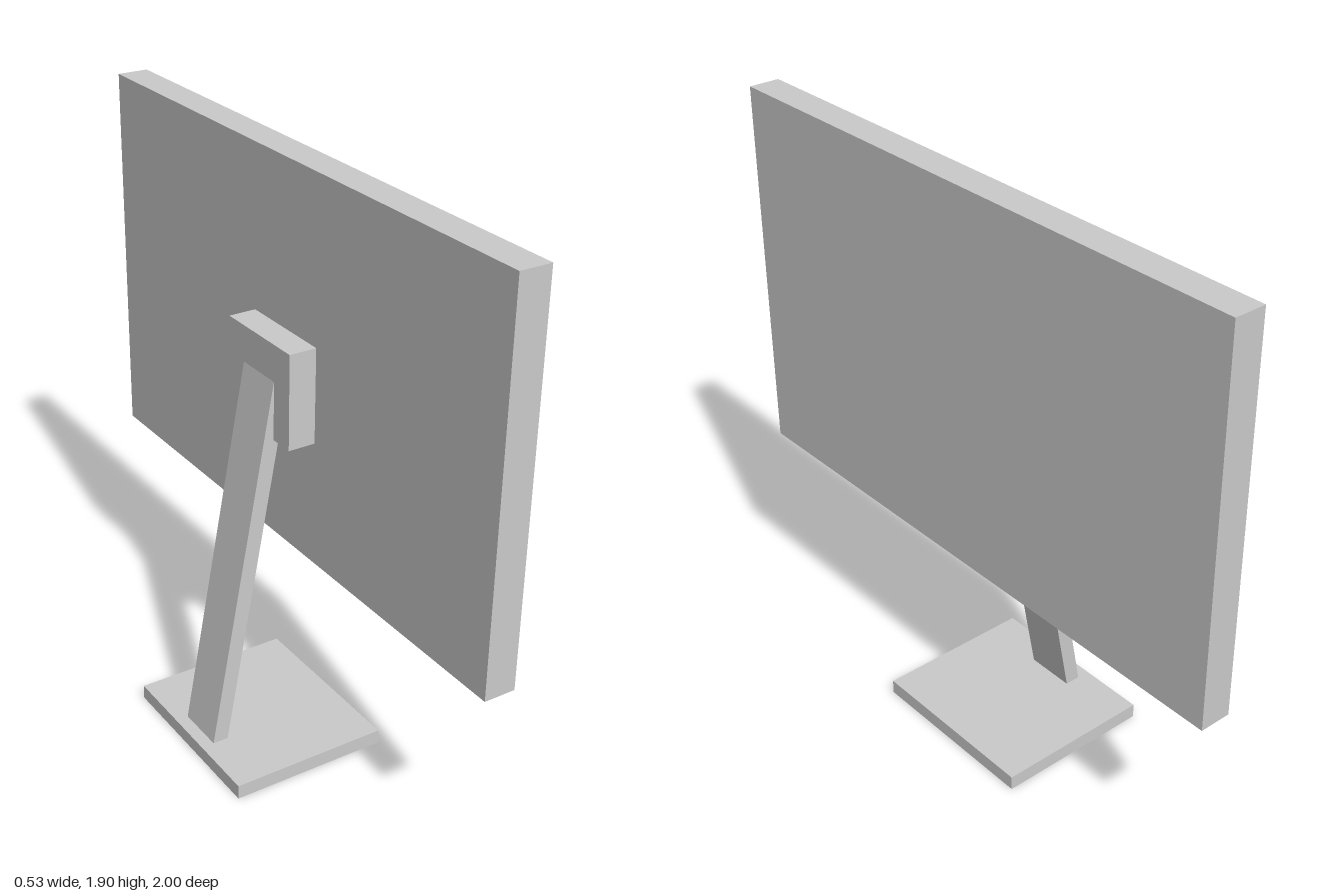
import * as THREE from 'three';

export function createModel() {
  const model = new THREE.Group();
  const material = new THREE.MeshStandardMaterial({ color: 0xcccccc, flatShading: true });

  const add = (name, geometry) => {
    const mesh = new THREE.Mesh(geometry, material);
    mesh.name = name;
    model.add(mesh);
  };
  // Block spanning x0..x1 and y0..y1, centred on z
  const block = (name, x0, x1, y0, y1, depth) =>
    add(name, new THREE.BoxGeometry(x1 - x0, y1 - y0, depth)
      .translate((x0 + x1) / 2, (y0 + y1) / 2, 0));

  block('base', -0.263, 0.263, 0, 0.048, 0.61);
  block('mountBlock', 0, 0.09, 1.075, 1.382, 0.33);
  block('screenPanel', 0.09, 0.192, 0.668, 1.9, 2);

  // Slanted arm, its ends seated in the base and the mount block
  const side = new THREE.Shape([
    new THREE.Vector2(-0.222, 0.04),
    new THREE.Vector2(-0.17, 0.04),
    new THREE.Vector2(0.053, 1.27),
    new THREE.Vector2(0.001, 1.27),
  ]);
  add('supportArm', new THREE.ExtrudeGeometry(side, { depth: 0.166, bevelEnabled: false })
    .translate(0, 0, -0.083));

  return model;
}
